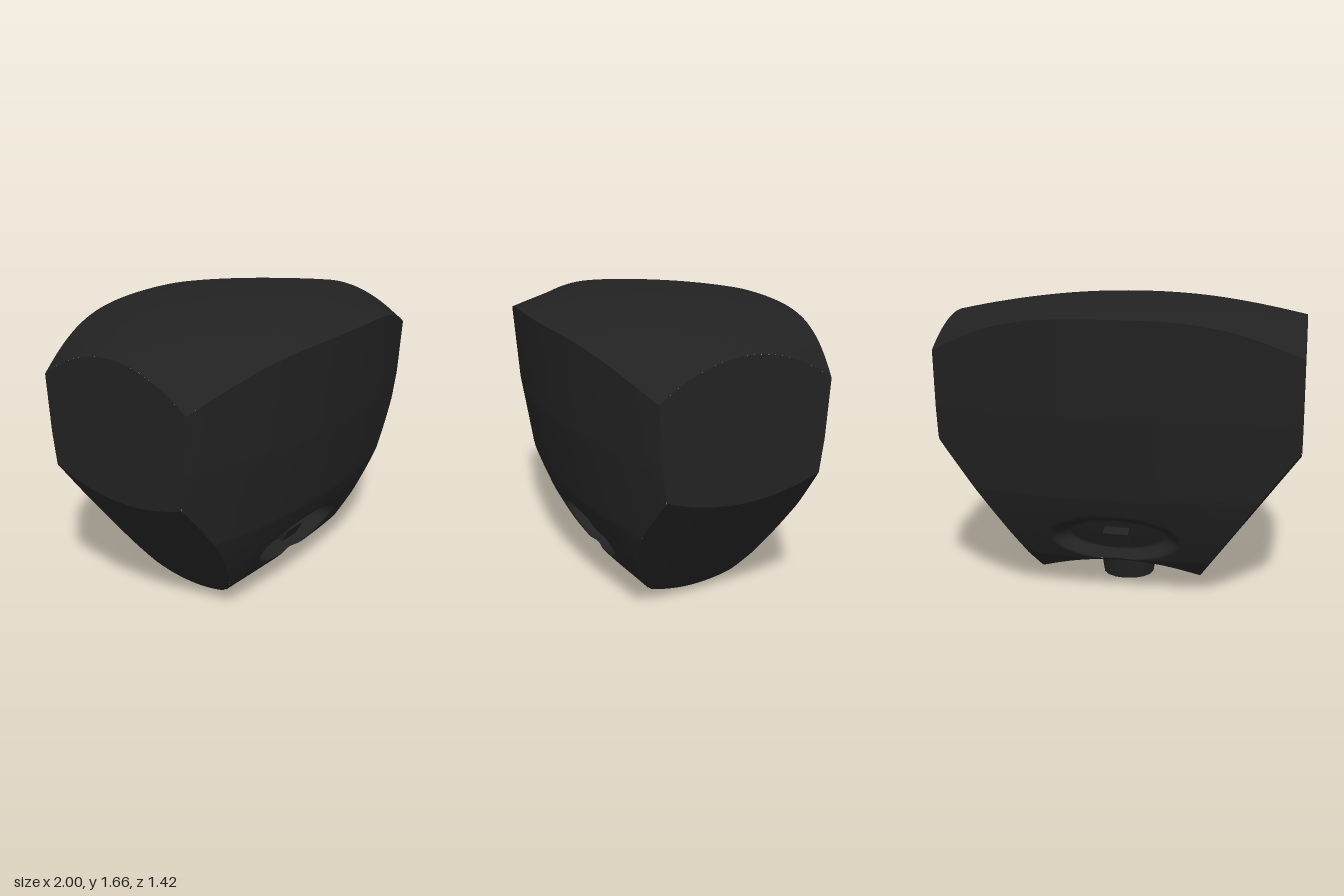
import * as THREE from 'three';
import { ParametricGeometry } from 'three/addons/geometries/ParametricGeometry.js';

const lerp = THREE.MathUtils.lerp;

// Depth of the front wall at the middle, by height: [y, z]
const DEPTH = [[0.03, 0.17], [0.1, 0.29], [0.2, 0.385], [0.35, 0.47], [0.5, 0.538],
  [0.6, 0.58], [1.05, 0.665], [1.58, 0.71]];
function depth(y) {
  let i = 1;
  while (i < DEPTH.length - 1 && y > DEPTH[i][0]) i++;
  const [y0, z0] = DEPTH[i - 1], [y1, z1] = DEPTH[i];
  return lerp(z0, z1, (y - y0) / (y1 - y0));
}

// Domed top, hollow underside, and the sides that slope in below the knee
const topY = (x, z) => 1.66 - 0.11 * x * x - 0.16 * z * z - 0.6 * x ** 4 * z * z;
const bottomY = (x, z) => 0.11 - 0.3 * x * x + 0.65 * z * z;
const sideX = (y, z) => Math.min(1, 0.45 + 0.75 * (y - 0.05) - 0.33 * z * z);
const kneeY = (x, z) => 0.05 + (0.55 + 0.33 * z * z) / 0.75;
const wallZ = (x, y) => depth(y) * (1 - 0.3 * x * x);

// Each surface settles x, y and z together by repeated substitution
function frontPoint(u, v) {
  let x = 0, y = lerp(0.15, 1.5, v), z = 0.4;
  for (let i = 0; i < 24; i++) {
    x = (2 * u - 1) * sideX(y, z);
    z = wallZ(x, y);
    y = lerp(bottomY(x, z), topY(x, z), v);
  }
  return [x, y, z];
}

function sidePoint(u, v, low, high) {
  let x = 0.8, y = 0.5, z = 0, corner = 0.4;
  for (let i = 0; i < 24; i++) {
    corner = wallZ(sideX(y, corner), y);
    z = (1 - 2 * u) * corner;
    x = sideX(y, z);
    y = lerp(low(x, z), high(x, z), v);
  }
  return [x, y, z];
}

function frontWall(u, v, target) {
  const [x, y, z] = frontPoint(u, v ** 1.6);
  // Oval recess near the foot of the wall
  const r = Math.hypot(x / 0.37, (y - 0.34) / 0.14);
  target.set(x, y, z - 0.11 * (1 - THREE.MathUtils.smoothstep(r, 0.72, 1)));
}

function topFace(u, v, target) {
  const [x, , edge] = frontPoint(u, 1);
  const z = lerp(edge, -edge, v);
  target.set(x, topY(x, z), z);
}

function underside(u, v, target) {
  const z = (2 * v - 1) * frontPoint(u, 0)[2];
  let x = 0.4;
  for (let i = 0; i < 24; i++) x = (2 * u - 1) * sideX(bottomY(x, z), z);
  target.set(x, bottomY(x, z), z);
}

export function createModel() {
  const model = new THREE.Group();
  const black = new THREE.MeshStandardMaterial({ color: 0x222222 });
  black.name = 'matte black';

  function add(name, geometry, parent = model) {
    const mesh = new THREE.Mesh(geometry, black);
    mesh.name = name;
    parent.add(mesh);
    return mesh;
  }
  function surface(fn, slices, stacks) {
    const geometry = new ParametricGeometry(fn, slices, stacks);
    geometry.computeVertexNormals();
    return geometry;
  }

  // Shell halves, the second turned half way round
  const wall = surface(frontWall, 90, 80);
  const slope = surface((u, v, t) => t.set(...sidePoint(u, v, bottomY, kneeY)), 20, 24);
  const panel = surface((u, v, t) => t.set(...sidePoint(u, v, kneeY, topY)), 24, 20);
  for (const half of ['front', 'back']) {
    const group = new THREE.Group();
    group.name = half + 'Half';
    add('wall', wall, group);
    add('slopedSide', slope, group);
    add('sidePanel', panel, group);
    // Small boss inside the recess
    const boss = add('recessBoss', new THREE.BoxGeometry(0.14, 0.1, 0.09), group);
    boss.position.set(0, 0.34, 0.36);
    boss.rotation.x = 0.5;
    if (half === 'back') group.rotation.y = Math.PI;
    model.add(group);
  }

  add('top', surface(topFace, 40, 30));
  add('underside', surface(underside, 30, 24));

  // Hollow foot peg with crisp edges
  const profile = [[0, 0.05], [0.09, 0.05], [0.1, 0], [0.148, 0], [0.17, 0.14]]
    .map(([r, y]) => new THREE.Vector2(r, y));
  const peg = new THREE.LatheGeometry(profile, 16).toNonIndexed();
  peg.computeVertexNormals();
  add('footPeg', peg);

  return model;
}
